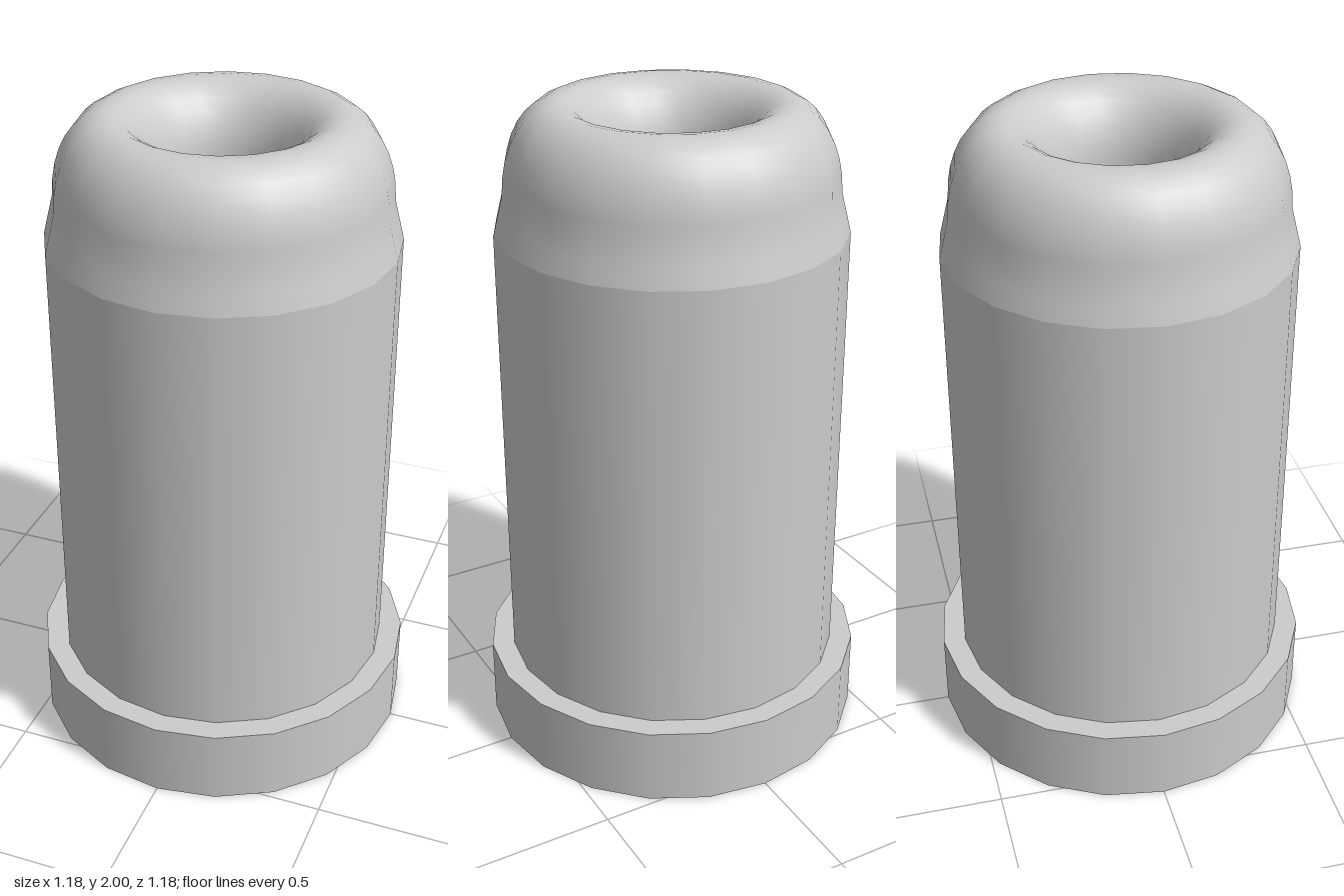
import * as THREE from 'three';

const SIDES = 20;

export function createModel() {
  const group = new THREE.Group();
  const material = new THREE.MeshStandardMaterial({ color: 0xcccccc });

  const add = (name, geometry, y = 0) => {
    const mesh = new THREE.Mesh(geometry, material);
    mesh.name = name;
    mesh.position.y = y;
    group.add(mesh);
  };
  const lathe = (points) =>
    new THREE.LatheGeometry(points.map(([r, y]) => new THREE.Vector2(r, y)), SIDES);

  // Wide foot
  add('baseFlange', new THREE.CylinderGeometry(0.59, 0.59, 0.24, SIDES), 0.12);

  // Straight wall
  add('casing', new THREE.CylinderGeometry(0.52, 0.52, 1.39, SIDES, 1, true), 0.935);

  // Tapered neck, then a rounded rim rolling over into the hollow
  const profile = [[0.52, 1.63], [0.505, 1.69], [0.49, 1.75]];
  const steps = 16;
  for (let i = 1; i <= steps; i++) {
    const a = (i / steps) * Math.PI;
    const r = 0.335 + 0.155 * Math.cos(a);
    profile.push([Math.max(r, 0.185), 1.75 + 0.25 * Math.sin(a)]);
  }
  add('roundedTip', lathe(profile));

  // Flat bottom of the hollow
  const floor = new THREE.CircleGeometry(0.19, SIDES);
  floor.rotateX(-Math.PI / 2);
  add('hollowFloor', floor, 1.755);

  return group;
}
